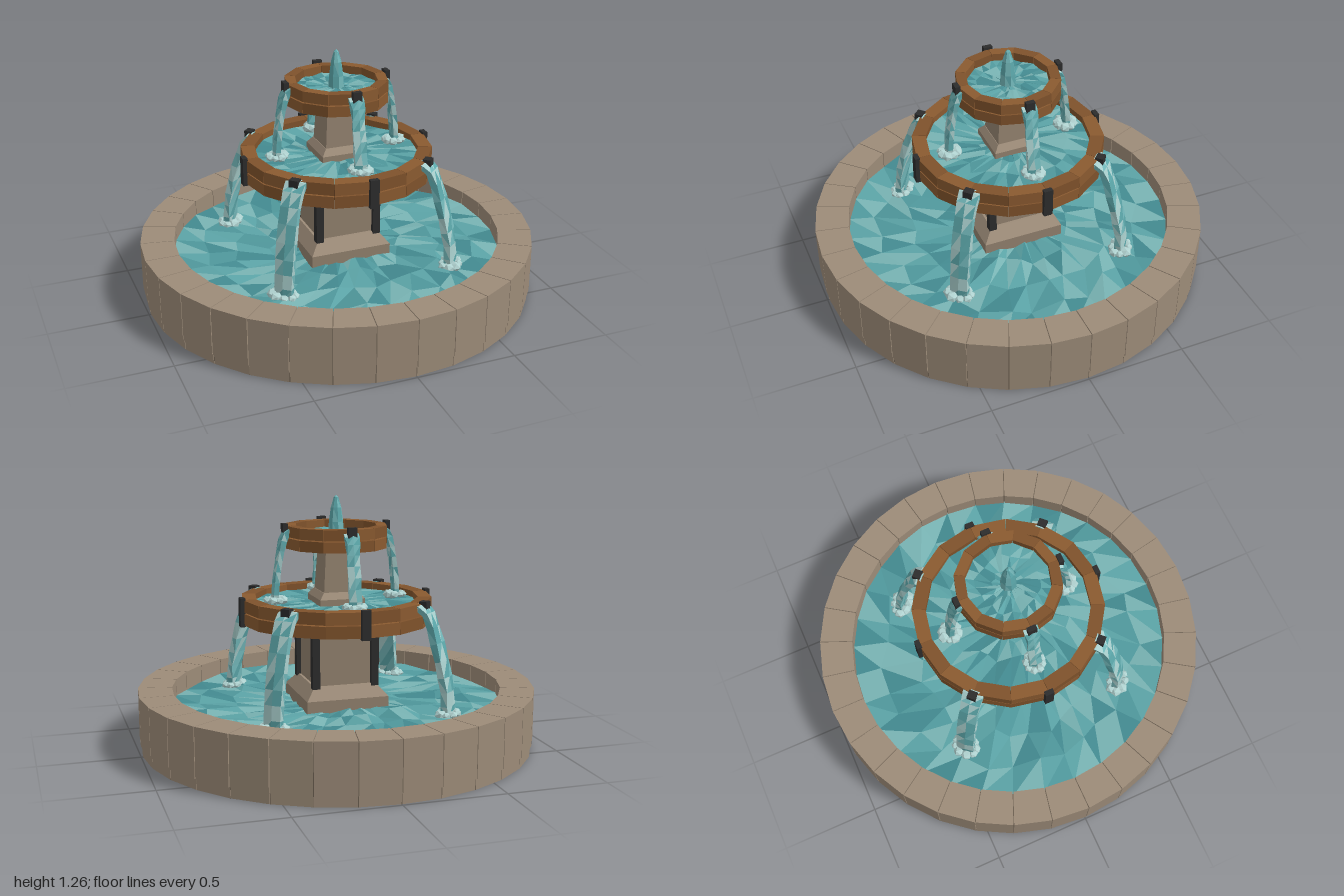
import * as THREE from 'three';

const mat = (color) => new THREE.MeshStandardMaterial({ color, flatShading: true });
const stone = mat(0x9c8b78), mortar = mat(0x6b5f50), pillarStone = mat(0x92816e);
const woods = [mat(0x8a5a30), mat(0x7f522b)], darkWood = mat(0x50331b), iron = mat(0x2c2c2c);
const waters = [mat(0x4f979b), mat(0x5ba3a6), mat(0x78b3b3), mat(0x438a90)];
const streams = [mat(0x5ba6a9), mat(0x72b6b8), mat(0xa9cfcd)];
const foam = mat(0xb0d2d0);

// Repeatable noise in 0..1 from a position
const hash = (...p) => {
  const s = Math.sin(p.reduce((a, v, i) => a + Math.round(v * 1000) * [12.9898, 78.233, 37.719][i], 1)) * 43758.5453;
  return s - Math.floor(s);
};

function add(parent, name, geo, material, x = 0, y = 0, z = 0) {
  const m = new THREE.Mesh(geo, material);
  m.name = name;
  m.position.set(x, y, z);
  parent.add(m);
  return m;
}

// Moves every vertex by a rule
function bend(geo, rule) {
  const p = geo.attributes.position, v = new THREE.Vector3();
  for (let i = 0; i < p.count; i++) {
    rule(v.fromBufferAttribute(p, i));
    p.setXYZ(i, v.x, v.y, v.z);
  }
  return geo;
}

// Sorts triangles into one mesh per shade for a faceted, glinting surface
function addFacets(parent, name, geo, shades) {
  const p = geo.toNonIndexed().attributes.position.array;
  const lists = shades.map(() => []);
  for (let i = 0; i < p.length; i += 9) {
    const k = Math.floor(hash(p[i] + p[i + 3], p[i + 1] + p[i + 7], p[i + 5] + p[i + 8]) * shades.length);
    lists[k].push(...p.slice(i, i + 9));
  }
  lists.forEach((list, k) => {
    const g = new THREE.BufferGeometry();
    g.setAttribute('position', new THREE.Float32BufferAttribute(list, 3));
    g.computeVertexNormals();
    add(parent, name, g, shades[k]);
  });
}

// Ring of wedge blocks with straight faces and narrow joints
function addRing(parent, name, n, r0, r1, y0, y1, gap, mats) {
  for (let i = 0; i < n; i++) {
    const a0 = (i / n) * Math.PI * 2, a1 = ((i + 1) / n) * Math.PI * 2;
    const at = (r, a, g) => new THREE.Vector2(r * Math.cos(a + g / r), r * Math.sin(a + g / r));
    const shape = new THREE.Shape([at(r0, a0, gap), at(r1, a0, gap), at(r1, a1, -gap), at(r0, a1, -gap)]);
    const geo = new THREE.ExtrudeGeometry(shape, { depth: y1 - y0, bevelEnabled: false }).rotateX(-Math.PI / 2);
    add(parent, name, geo, mats[i % mats.length], 0, y0, 0);
  }
}

// Rippled water disc
function addWater(parent, name, radius, y, n, rings, ripple) {
  const geo = new THREE.RingGeometry(0.01, radius, n, rings).rotateX(-Math.PI / 2);
  bend(geo, (v) => {
    const r = Math.hypot(v.x, v.z), h = hash(v.x, v.z), k = hash(v.z, v.x);
    if (r < radius - 0.005 && r > 0.02) {
      const s = 1 + (k - 0.5) * 0.5 * (radius / rings) / r, a = Math.atan2(v.x, v.z) + (h - 0.5) * 3 / n;
      v.set(Math.sin(a) * r * s, 0, Math.cos(a) * r * s);
    }
    v.y = y + (h - 0.5) * ripple;
  });
  addFacets(parent, name, geo, waters);
}

// Square block tapering from half-width a at y0 to b at y1
function addTaper(parent, name, a, b, y0, y1, material) {
  const geo = new THREE.CylinderGeometry(b * Math.SQRT2, a * Math.SQRT2, y1 - y0, 4).rotateY(Math.PI / 4);
  add(parent, name, geo, material, 0, (y0 + y1) / 2, 0);
}

// Falling water with foam lumps; path points are (radius, height)
function addStream(parent, angle, path, width, thick) {
  const g = new THREE.Group();
  g.name = 'stream';
  g.rotation.y = angle;
  parent.add(g);
  const curve = new THREE.SplineCurve(path.map(([r, y]) => new THREE.Vector2(r, y)));
  const geo = bend(new THREE.BoxGeometry(width, thick, 1, 2, 1, 9), (v) => {
    const t = v.z + 0.5, c = curve.getPoint(t), d = curve.getTangent(t);
    const h = hash(v.x, v.y, v.z) - 0.5;
    const off = v.y + h * 0.008 + (v.x === 0 && v.y > 0 ? 0.006 : 0);
    v.set(v.x * (1 - 0.12 * t) + h * 0.008, c.y + d.x * off, c.x - d.y * off);
  });
  addFacets(g, 'fallingWater', geo, streams);
  const [r, y] = path[path.length - 1];
  for (let i = 0; i < 8; i++) {
    const a = (i / 8) * Math.PI * 2 + 0.3, s = 0.022 + 0.012 * hash(i, angle);
    const lump = add(g, 'foam', new THREE.IcosahedronGeometry(s, 0), foam,
      Math.sin(a) * width * 0.55, y + 0.015, r + Math.cos(a) * 0.038);
    lump.scale.y = 0.75;
    lump.rotation.y = i;
  }
}

// Iron clamp on the outside of a bowl
function addClamp(parent, angle, r, y0, y1, depth) {
  const geo = new THREE.BoxGeometry(0.045, y1 - y0, depth).translate(0, (y0 + y1) / 2, r);
  add(parent, 'clamp', geo, iron).rotation.y = angle;
}

// Wooden bowl: two courses of planks, a recessed floor and water
function addBowl(parent, name, n, r0, r1, y0, y1, level) {
  const bowl = new THREE.Group();
  bowl.name = name;
  parent.add(bowl);
  const mid = (y0 + y1) / 2;
  addRing(bowl, 'lowerPlank', n, r0, r1, y0, mid - 0.003, 0.0008, woods);
  addRing(bowl, 'upperPlank', n, r0, r1, mid + 0.003, y1, 0.0008, [woods[1], woods[0]]);
  const core = new THREE.CylinderGeometry(r0 + 0.015, r0 + 0.015, level - y0 - 0.04, n);
  add(bowl, 'bowlFloor', core, darkWood, 0, (y0 + level) / 2, 0);
  addWater(bowl, 'bowlWater', r0 + 0.01, level, n * 2, 3, 0.012);
  return bowl;
}

export function createModel() {
  const model = new THREE.Group();
  model.name = 'fountain';

  // Pool: footing and core under a ring of stone blocks
  const pool = new THREE.Group();
  pool.name = 'pool';
  model.add(pool);
  const profile = [[0, 0], [0.988, 0], [0.99, 0.29], [0.84, 0.29], [0.84, 0.12], [0, 0.12]];
  add(pool, 'poolCore', new THREE.LatheGeometry(profile.map((p) => new THREE.Vector2(...p)), 32), mortar);
  addRing(pool, 'footingBlock', 32, 0.9, 0.991, 0.001, 0.056, 0.002, [stone]);
  addRing(pool, 'rimBlock', 32, 0.83, 1, 0.055, 0.3, 0.002, [stone]);
  addWater(pool, 'poolWater', 0.838, 0.215, 32, 5, 0.03);

  // Lower pillar with corner posts
  const pillar = new THREE.Group();
  pillar.name = 'lowerPillar';
  model.add(pillar);
  addTaper(pillar, 'plinth', 0.21, 0.21, 0.12, 0.27, pillarStone);
  addTaper(pillar, 'plinthSlope', 0.21, 0.16, 0.27, 0.33, stone);
  addTaper(pillar, 'shaft', 0.148, 0.148, 0.32, 0.66, pillarStone);
  for (const x of [-1, 1]) for (const z of [-1, 1]) {
    add(pillar, 'cornerPost', new THREE.BoxGeometry(0.038, 0.33, 0.038), iron, x * 0.152, 0.485, z * 0.152);
  }

  // Upper pillar
  addTaper(model, 'upperPlinth', 0.115, 0.115, 0.67, 0.755, pillarStone);
  addTaper(model, 'upperPlinthSlope', 0.115, 0.09, 0.755, 0.787, stone);
  addTaper(model, 'upperShaft', 0.088, 0.072, 0.78, 1.03, pillarStone);

  // Lower bowl: eight clamps, streams on the diagonals
  const lower = addBowl(model, 'lowerBowl', 16, 0.41, 0.48, 0.632, 0.757, 0.725);
  const lowerPath = [[0.45, 0.74], [0.5, 0.715], [0.55, 0.6], [0.59, 0.45], [0.613, 0.32], [0.62, 0.21]];
  for (let i = 0; i < 8; i++) {
    const a = (i * Math.PI) / 4, spout = i % 2 === 1;
    addClamp(lower, a, spout ? 0.486 : 0.483, spout ? 0.72 : 0.625, 0.768, spout ? 0.04 : 0.025);
    if (spout) addStream(lower, a, lowerPath, 0.1, 0.032);
  }

  // Upper bowl: clamps and streams on the four axes
  const upper = addBowl(model, 'upperBowl', 12, 0.205, 0.257, 1.003, 1.115, 1.075);
  const upperPath = [[0.235, 1.09], [0.265, 1.07], [0.292, 0.97], [0.309, 0.85], [0.315, 0.735]];
  for (let i = 0; i < 4; i++) {
    const a = (i * Math.PI) / 2;
    addClamp(upper, a, 0.265, 1.065, 1.128, 0.025);
    addStream(upper, a, upperPath, 0.068, 0.026);
  }

  // Central jet
  const jet = [[0.042, 1.06], [0.037, 1.13], [0.027, 1.2], [0.012, 1.25], [0, 1.262]];
  addFacets(model, 'jet', new THREE.LatheGeometry(jet.map((p) => new THREE.Vector2(...p)), 8), [streams[0], streams[1]]);
  return model;
}
